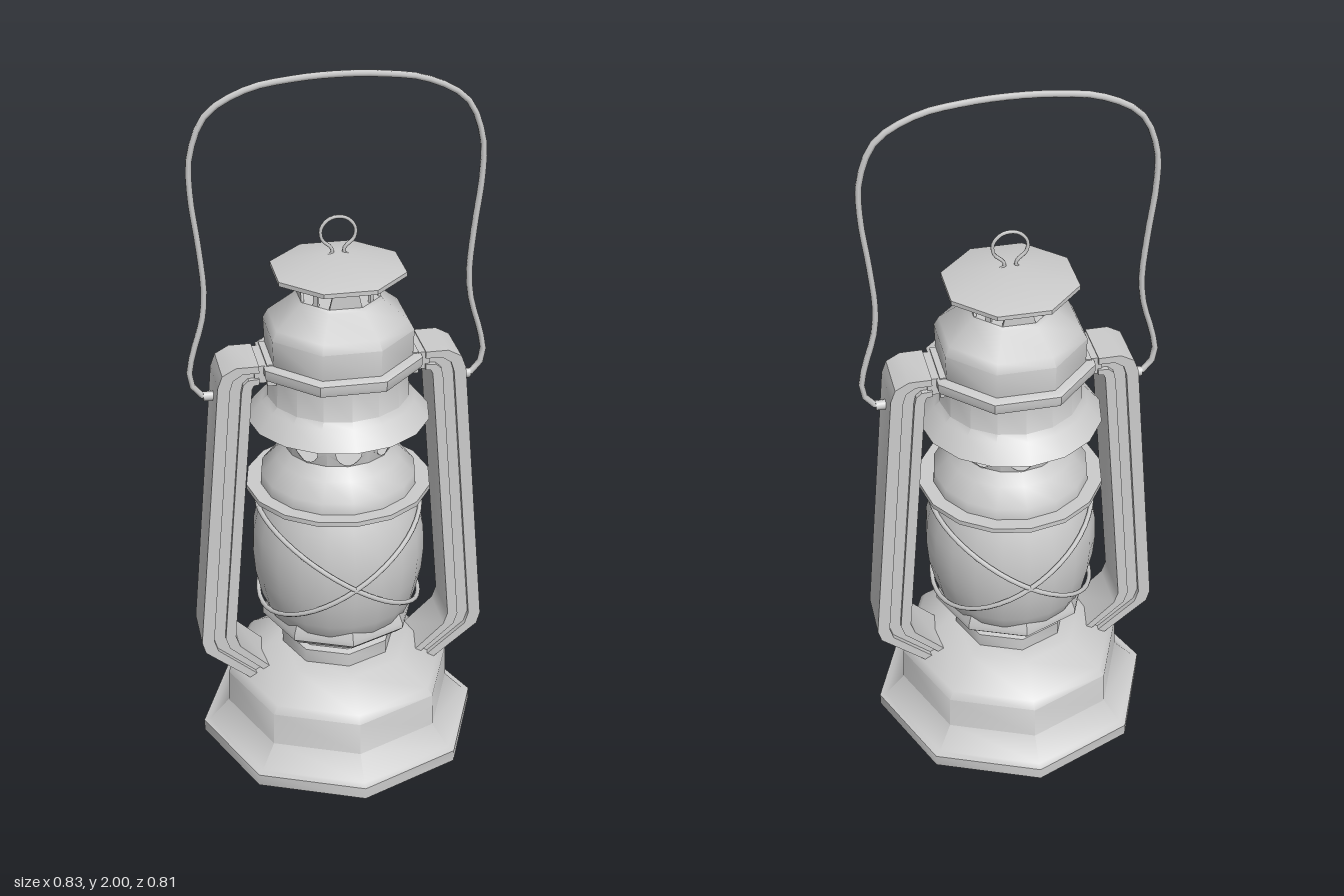
import * as THREE from 'three';
import { toCreasedNormals } from 'three/addons/utils/BufferGeometryUtils.js';

const material = new THREE.MeshStandardMaterial({ color: 0xcccccc, side: THREE.DoubleSide });
const V = (x, y, z = 0) => new THREE.Vector3(x, y, z);

export function createModel() {
  const model = new THREE.Group();
  model.name = 'lantern';

  const add = (name, geometry, parent = model) => {
    const mesh = new THREE.Mesh(geometry, material);
    mesh.name = name;
    parent.add(mesh);
    return mesh;
  };

  // Turned part; "flat" puts a side, not a corner, to the front
  const turned = (name, sides, profile, flat = false, crease = 0.85) => {
    const k = flat ? 1 / Math.cos(Math.PI / sides) : 1;
    const pts = profile.map(([r, y]) => new THREE.Vector2(r * k, y));
    const geo = new THREE.LatheGeometry(pts, sides, flat ? Math.PI / sides : 0);
    return add(name, toCreasedNormals(geo, crease));
  };

  const wire = (name, points, radius, closed = false, steps = 48, parent = model) => {
    const curve = new THREE.CatmullRomCurve3(points, closed, 'centripetal');
    return add(name, new THREE.TubeGeometry(curve, steps, radius, 6, closed), parent);
  };

  // Fuel tank and burner
  turned('base', 8, [[0, 0], [0.405, 0], [0.405, 0.035], [0.385, 0.04], [0.33, 0.1],
    [0.327, 0.2], [0.31, 0.22], [0.21, 0.28], [0.16, 0.29], [0, 0.29]]);
  turned('burnerNeck', 8, [[0.165, 0.28], [0.165, 0.33], [0.145, 0.335], [0.14, 0.385]]);
  turned('burnerCup', 8, [[0, 0.375], [0.2, 0.375], [0.222, 0.395], [0.222, 0.41], [0.205, 0.45]], false, 0.6);

  // Glass globe with the plate above
  turned('globe', 20, [[0.19, 0.4], [0.205, 0.42], [0.222, 0.46], [0.24, 0.54], [0.246, 0.61],
    [0.243, 0.68], [0.225, 0.76], [0.2, 0.815]]);
  turned('globePlate', 16, [[0, 0.813], [0.26, 0.813], [0.26, 0.827], [0, 0.827]]);
  turned('globeCollar', 16, [[0.22, 0.825], [0.218, 0.86], [0.175, 0.905], [0.15, 0.94]]);

  // Two tilted wire rings that cross over the globe
  for (const s of [-1, 1]) {
    const pts = [];
    for (let i = 0; i < 20; i++) {
      const a = (i / 20) * Math.PI * 2;
      pts.push(V(0.23 * Math.cos(a), 0.607 + s * 0.153 * Math.cos(a), 0.257 * Math.sin(a)));
    }
    wire('globeGuard', pts, 0.007, true);
  }

  // Vent drum: eight panels, each with a round hole, bent round the axis
  const vent = new THREE.Group();
  vent.name = 'ventDrum';
  model.add(vent);
  const half = Math.PI / 8;
  for (let i = 0; i < 8; i++) {
    const w = half * 0.16;
    const shape = new THREE.Shape([[-w, 0.935], [0, 0.935], [w, 0.935], [w, 0.98], [w, 1.06],
      [0, 1.06], [-w, 1.06], [-w, 0.98]].map(([x, y]) => new THREE.Vector2(x, y)));
    const hole = new THREE.Path();
    hole.absarc(0, 0.98, 0.037, 0, Math.PI * 2, true);
    shape.holes.push(hole);
    const geo = new THREE.ShapeGeometry(shape, 8);
    const p = geo.attributes.position;
    for (let j = 0; j < p.count; j++) {
      const y = p.getY(j);
      const r = 0.15 + (y - 0.935) * 0.15;
      const a = p.getX(j) / 0.16 + i * half * 2;
      p.setXYZ(j, r * Math.sin(a), y, r * Math.cos(a));
    }
    add('ventPanel', toCreasedNormals(geo, 0.8), vent);
  }

  // Hood, ring and dome
  turned('hood', 16, [[0.155, 1.055], [0.254, 1.035], [0.213, 1.085], [0.197, 1.1], [0.194, 1.2]]);
  turned('hoodRing', 8, [[0, 1.19], [0.212, 1.19], [0.215, 1.2], [0.215, 1.22], [0.205, 1.226], [0, 1.226]], true, 0.6);
  turned('dome', 8, [[0.19, 1.22], [0.193, 1.3], [0.18, 1.325], [0.115, 1.38], [0.108, 1.39], [0, 1.39]], true);

  // Chimney: wide tapered posts alternating with thin ones
  for (let i = 0; i < 8; i++) {
    const wide = i % 2 === 0;
    const [a, b] = wide ? [0.046, 0.028] : [0.008, 0.006];
    const shape = new THREE.Shape([[-a, 1.38], [a, 1.38], [b, 1.46], [-b, 1.46]]
      .map(([x, y]) => new THREE.Vector2(x, y)));
    const geo = new THREE.ExtrudeGeometry(shape, { depth: 0.008, bevelEnabled: false });
    geo.translate(0, 0, 0.1);
    geo.rotateY(i * half * 2);
    add('chimneyPost', geo);
  }
  turned('chimneyCap', 8, [[0, 1.453], [0.172, 1.453], [0.172, 1.465], [0, 1.51]], true, 0.6);
  wire('capLoop', [V(-0.03, 1.497), V(-0.016, 1.505), V(-0.018, 1.52), V(-0.043, 1.545), V(-0.046, 1.575),
    V(-0.026, 1.6), V(0, 1.607), V(0.026, 1.6), V(0.046, 1.575), V(0.043, 1.545), V(0.018, 1.52),
    V(0.016, 1.505), V(0.03, 1.497)], 0.005, false, 32);

  // Side arms: a recessed core between an outer and an inner rim
  const outer = [[0.27, 0.22], [0.4, 0.325], [0.41, 0.36], [0.341, 1.17], [0.328, 1.205], [0.29, 1.226], [0.228, 1.226]];
  const inner = [[0.215, 0.255], [0.3, 0.335], [0.312, 0.37], [0.25, 1.14], [0.248, 1.16], [0.243, 1.17], [0.228, 1.172]];
  const band = (t0, t1, depth) => {
    const line = t => outer.map(([x, y], i) => new THREE.Vector2(
      x + (inner[i][0] - x) * t, y + (inner[i][1] - y) * t));
    const shape = new THREE.Shape([...line(t0), ...line(t1).reverse()]);
    const geo = new THREE.ExtrudeGeometry(shape, { depth, bevelEnabled: false });
    geo.translate(0, 0, -depth / 2);
    return toCreasedNormals(geo, 0.6);
  };
  for (const s of [0, 1]) {
    const arm = new THREE.Group();
    arm.name = s ? 'rightArm' : 'leftArm';
    arm.rotation.y = s * Math.PI;
    model.add(arm);
    add('armOuterRim', band(0, 0.36, 0.146), arm);
    add('armCore', band(0.3, 0.75, 0.118), arm);
    add('armInnerRim', band(0.7, 1, 0.146), arm);
    add('armConnector', new THREE.BoxGeometry(0.06, 0.05, 0.13), arm).position.set(0.21, 1.198, 0);
    add('armFlange', new THREE.BoxGeometry(0.025, 0.062, 0.15), arm).position.set(0.195, 1.198, 0);
    const pivot = add('handlePivot', new THREE.CylinderGeometry(0.014, 0.014, 0.04, 8), arm);
    pivot.rotation.z = Math.PI / 2;
    pivot.position.set(0.352, 1.115, 0);
  }

  // Carrying handle, hooked into both arms
  const side = [[0.335, 1.112], [0.372, 1.117], [0.396, 1.14], [0.407, 1.185], [0.394, 1.25], [0.368, 1.34],
    [0.36, 1.42], [0.37, 1.55], [0.387, 1.7], [0.384, 1.8], [0.34, 1.905], [0.235, 1.965], [0.12, 1.985]];
  wire('handle', [...side.map(([x, y]) => V(-x, y)), V(0, 1.991),
    ...side.slice().reverse().map(([x, y]) => V(x, y))], 0.009, false, 60);

  return model;
}
